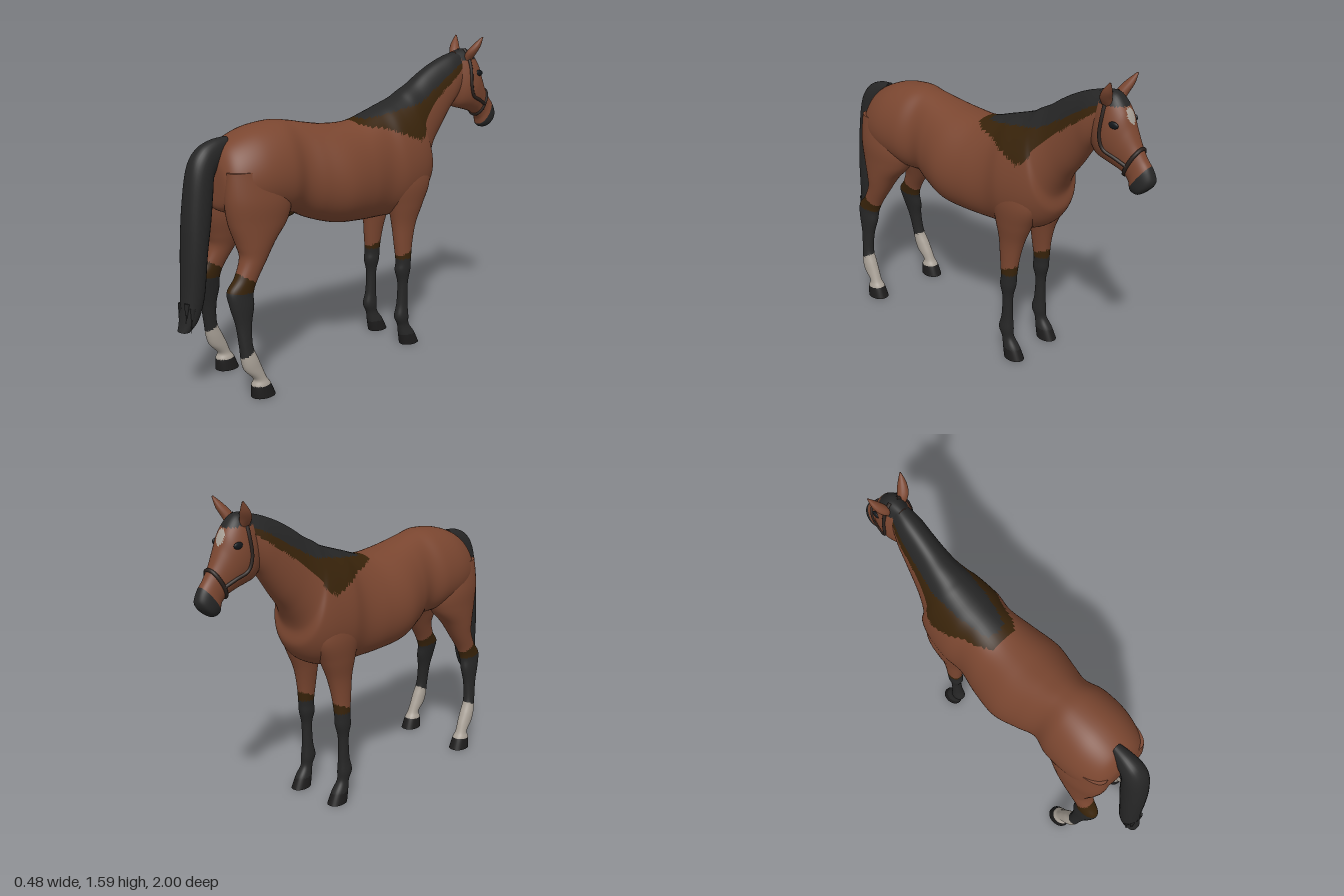
import * as THREE from 'three';

const mat = (name, color, side = THREE.FrontSide) => {
  const m = new THREE.MeshStandardMaterial({ color, side });
  m.name = name;
  return m;
};
const M = {
  coat: mat('bay coat', 0x7a4630),
  hair: mat('black hair', 0x262626),
  shade: mat('dark brown points', 0x38230a),
  sock: mat('pale sock', 0xa9a197),
  hoof: mat('hoof', 0x1d1c1c),
  strap: mat('halter leather', 0x2b221e),
  eye: mat('eye', 0x14181c),
};

// Smooth interpolation through a list of cross-sections
function section(rows, t) {
  const n = rows.length - 1;
  const i = Math.min(Math.floor(t), n - 1), f = t - i;
  const r = (k) => rows[Math.max(0, Math.min(n, k))];
  return rows[0].map((_, c) => {
    const a = r(i - 1)[c], b = r(i)[c], d = r(i + 1)[c], e = r(i + 2)[c];
    const u = (d - a) / 2, v = (e - b) / 2;
    return b + u * f + (3 * (d - b) - 2 * u - v) * f * f + (2 * (b - d) + u + v) * f * f * f;
  });
}

// A cross-section row is [z, y of one edge, z, y of the opposite edge, half width, centre x]
function surface(rows, t, a, egg = 0) {
  const [z1, y1, z2, y2, w, x] = section(rows, t);
  const c = Math.cos(a), s = Math.sin(a);
  const side = Math.sign(s) * Math.abs(s) ** 0.88 * (1 - egg * c);
  return new THREE.Vector3(x + w * side, (y1 + y2) / 2 + c * (y1 - y2) / 2, (z1 + z2) / 2 + c * (z1 - z2) / 2);
}

// Loft through the rows; paint(point, t) picks the material of each triangle
function loft(name, rows, paint, { seg = 24, sub = 6, egg = 0 } = {}) {
  const steps = (rows.length - 1) * sub, pos = [], buckets = new Map();
  const at = (k) => new THREE.Vector3().fromArray(pos, k * 3);
  const tri = (a, b, c, t) => {
    const m = paint(at(a).add(at(b)).add(at(c)).divideScalar(3), t);
    if (!buckets.has(m)) buckets.set(m, []);
    buckets.get(m).push(a, b, c);
  };
  const ring = (t) => {
    const start = pos.length / 3;
    for (let j = 0; j < seg; j++) pos.push(...surface(rows, t, (j / seg) * Math.PI * 2, egg).toArray());
    return start;
  };
  for (let i = 0; i <= steps; i++) ring(i / sub);
  for (let i = 0; i < steps; i++) for (let j = 0; j < seg; j++) {
    const k = (j + 1) % seg, a = i * seg, b = a + seg, t = (i + 0.5) / sub;
    tri(a + j, a + k, b + j, t);
    tri(a + k, b + k, b + j, t);
  }
  // End caps with their own corners
  for (const end of [0, rows.length - 1]) {
    const s = ring(end), mid = pos.length / 3;
    const c = surface(rows, end, 0, egg).add(surface(rows, end, Math.PI, egg)).multiplyScalar(0.5);
    pos.push(...c.toArray());
    for (let j = 0; j < seg; j++) {
      const p = s + j, q = s + (j + 1) % seg;
      end ? tri(p, q, mid, end) : tri(q, p, mid, end);
    }
  }
  const g = new THREE.BufferGeometry(), index = [], mats = [];
  for (const [m, list] of buckets) {
    g.addGroup(index.length, list.length, mats.length);
    mats.push(m);
    for (const v of list) index.push(v);
  }
  g.setAttribute('position', new THREE.Float32BufferAttribute(pos, 3));
  g.setIndex(index);
  g.computeVertexNormals();
  const mesh = new THREE.Mesh(g, mats);
  mesh.name = name;
  return mesh;
}

// Height of a broken line at a given z (points run towards -z)
function lineY(pts, z) {
  for (let i = 1; i < pts.length; i++) if (z >= pts[i][0]) {
    const [a, b] = [pts[i - 1], pts[i]];
    return z > a[0] ? 9 : b[1] + (a[1] - b[1]) * (z - b[0]) / (a[0] - b[0]);
  }
  return pts[pts.length - 1][1];
}

const BODY = [
  [0.80, 1.04, 0.80, 0.94, 0.03, 0], [0.79, 1.11, 0.79, 0.88, 0.12, 0], [0.74, 1.18, 0.73, 0.85, 0.17, 0],
  [0.62, 1.235, 0.62, 0.83, 0.202, 0], [0.48, 1.255, 0.48, 0.81, 0.202, 0], [0.38, 1.245, 0.38, 0.80, 0.175, 0],
  [0.28, 1.225, 0.28, 0.755, 0.20, 0], [0.15, 1.205, 0.15, 0.715, 0.23, 0], [0, 1.205, 0, 0.70, 0.212, 0],
  [-0.13, 1.245, -0.13, 0.695, 0.185, 0], [-0.20, 1.268, -0.26, 0.70, 0.195, 0], [-0.25, 1.285, -0.40, 0.75, 0.185, 0],
  [-0.30, 1.305, -0.47, 0.84, 0.165, 0], [-0.34, 1.33, -0.467, 0.93, 0.14, 0], [-0.40, 1.362, -0.51, 1.02, 0.115, 0],
  [-0.47, 1.41, -0.57, 1.10, 0.098, 0.003], [-0.55, 1.455, -0.625, 1.18, 0.086, 0.008],
  [-0.64, 1.492, -0.66, 1.23, 0.078, 0.015], [-0.72, 1.512, -0.70, 1.27, 0.06, 0.022],
];
const MANE = [[0, 1.3], [-0.05, 1.21], [-0.2, 1.235], [-0.4, 1.27], [-0.55, 1.36], [-0.64, 1.42], [-0.73, 1.46]];
const MANE_SHADE = [[0.02, 1.3], [0, 1.19], [-0.15, 1.16], [-0.33, 1.09], [-0.38, 1.12], [-0.4, 1.18],
  [-0.55, 1.31], [-0.65, 1.38], [-0.73, 1.44]];
const HEAD = [
  [-0.69, 1.51, -0.67, 1.23, 0.055, 0.02], [-0.775, 1.517, -0.70, 1.212, 0.08, 0.023],
  [-0.838, 1.455, -0.735, 1.203, 0.084, 0.025], [-0.872, 1.38, -0.79, 1.188, 0.072, 0.027],
  [-0.907, 1.31, -0.84, 1.168, 0.056, 0.028], [-0.943, 1.255, -0.872, 1.135, 0.047, 0.03],
  [-0.975, 1.215, -0.885, 1.095, 0.05, 0.03], [-0.995, 1.17, -0.92, 1.085, 0.043, 0.03],
  [-0.99, 1.14, -0.95, 1.10, 0.018, 0.03],
];
const TAIL = [
  [1.0, 0.33, 0.95, 0.33, 0.035, 0], [0.988, 0.38, 0.905, 0.38, 0.05, 0], [0.975, 0.5, 0.87, 0.49, 0.061, 0],
  [0.965, 0.7, 0.85, 0.68, 0.071, 0], [0.95, 0.9, 0.825, 0.83, 0.071, 0], [0.92, 1.08, 0.81, 0.95, 0.066, 0],
  [0.87, 1.16, 0.80, 1.03, 0.058, 0], [0.80, 1.195, 0.76, 1.08, 0.045, 0], [0.72, 1.205, 0.74, 1.12, 0.03, 0],
];
// Legs: [front z, y, back z, y, half width, centre x]
const HIND = [
  [0.52, 1.06, 0.79, 1.06, 0.06, 0.12], [0.46, 0.92, 0.80, 0.93, 0.092, 0.115], [0.48, 0.82, 0.785, 0.82, 0.092, 0.115],
  [0.56, 0.73, 0.755, 0.72, 0.075, 0.128], [0.62, 0.64, 0.745, 0.66, 0.058, 0.138], [0.67, 0.56, 0.78, 0.58, 0.045, 0.145],
  [0.695, 0.50, 0.828, 0.52, 0.04, 0.15], [0.70, 0.44, 0.822, 0.45, 0.036, 0.16], [0.72, 0.36, 0.80, 0.36, 0.029, 0.17],
  [0.725, 0.26, 0.79, 0.26, 0.029, 0.18], [0.70, 0.19, 0.785, 0.19, 0.034, 0.185], [0.68, 0.14, 0.77, 0.14, 0.033, 0.187],
  [0.66, 0.09, 0.725, 0.09, 0.03, 0.19], [0.64, 0.06, 0.735, 0.055, 0.04, 0.19], [0.615, 0, 0.735, 0, 0.048, 0.19],
];
const FORE = [
  [-0.40, 1.0, -0.16, 0.98, 0.06, 0.115], [-0.42, 0.87, -0.15, 0.87, 0.075, 0.118], [-0.378, 0.76, -0.175, 0.76, 0.068, 0.115],
  [-0.335, 0.66, -0.195, 0.66, 0.052, 0.115], [-0.31, 0.56, -0.205, 0.56, 0.042, 0.12], [-0.298, 0.46, -0.215, 0.46, 0.036, 0.125],
  [-0.295, 0.41, -0.21, 0.41, 0.036, 0.125], [-0.28, 0.34, -0.225, 0.34, 0.026, 0.127], [-0.28, 0.23, -0.22, 0.23, 0.026, 0.127],
  [-0.285, 0.16, -0.205, 0.16, 0.032, 0.128], [-0.29, 0.11, -0.225, 0.11, 0.027, 0.128],
  [-0.325, 0.06, -0.235, 0.055, 0.036, 0.128], [-0.355, 0, -0.245, 0, 0.042, 0.128],
];

export function createModel() {
  const horse = new THREE.Group();
  horse.name = 'horse';
  const ball = (name, material, p, size) => {
    const m = new THREE.Mesh(new THREE.SphereGeometry(1, 20, 14), material);
    m.name = name;
    m.position.copy(p);
    m.scale.set(...size);
    horse.add(m);
    return m;
  };

  // Trunk and neck with the mane painted along the crest
  horse.add(loft('bodyAndNeck', BODY, (p) =>
    p.y > lineY(MANE, p.z) ? M.hair : p.y > lineY(MANE_SHADE, p.z) ? M.shade : M.coat,
  { seg: 72, sub: 8, egg: 0.13 }));
  ball('sheath', M.shade, new THREE.Vector3(0, 0.805, 0.42), [0.04, 0.03, 0.08]);

  // Head with forelock, star and dark muzzle
  horse.add(loft('head', HEAD, (p, t) => {
    const dx = p.x - 0.025;
    if (t > 5.7) return M.hair;
    if (p.z < -0.8 && Math.hypot(dx / 0.024, (p.y - 1.425) / 0.035) < 1) return M.sock;
    if (p.y > 1.465 && Math.abs(dx) < 0.055) return M.hair;
    return M.coat;
  }, { seg: 56, sub: 8, egg: 0.08 }));

  // Halter: noseband, crown and cheek straps
  const strap = (name, pts, closed = false) => {
    const curve = new THREE.CatmullRomCurve3(pts, closed);
    const m = new THREE.Mesh(new THREE.TubeGeometry(curve, 40, 0.009, 8, closed), M.strap);
    m.name = name;
    horse.add(m);
  };
  const onHead = (t, a) => surface(HEAD, t, a, 0.08);
  strap('noseband', Array.from({ length: 16 }, (_, i) => onHead(4.3, i * Math.PI / 8)), true);

  for (const s of [1, -1]) {
    const side = s > 0 ? 'left' : 'right';
    strap(side + 'CheekStrap', [[4.3, 1.7], [3.2, 1.9], [2.1, 2], [1.4, 1.75], [1, 1.2], [0.8, 0.7], [0.75, 0.2]]
      .map(([t, a]) => onHead(t, s * a)));
    ball(side + 'Eye', M.eye, onHead(2, s * 1.05), [0.009, 0.016, 0.026]);
    // Pointed ears leaning outward
    const ex = (d) => 0.024 + s * d;
    horse.add(loft(side + 'Ear', [
      [-0.73, 1.46, -0.775, 1.46, 0.018, ex(0.042)], [-0.73, 1.50, -0.785, 1.495, 0.026, ex(0.06)],
      [-0.755, 1.54, -0.80, 1.535, 0.021, ex(0.08)], [-0.80, 1.585, -0.808, 1.582, 0.003, ex(0.098)],
    ], () => M.coat, { seg: 16 }));

    // Hind leg: the right one is set a little further forward
    const hind = HIND.map(([a, y1, b, y2, w, x]) => {
      const d = s > 0 ? 0 : -0.04 * Math.max(0, Math.min(1, (0.55 - y1) / 0.4));
      return [a + d, y1, b + d, y2, w, s * x];
    });
    horse.add(loft(side + 'HindLeg', hind, (p) => {
      const slope = (p.z - 0.7) * 0.6;
      if (p.y < 0.058) return M.hoof;
      if (p.y < 0.225 + (0.75 - p.z) * 0.5) return M.sock;
      if (p.y < 0.505 + slope * 0.2) return M.hair;
      return p.y < 0.555 + slope ? M.shade : M.coat;
    }, { seg: 32, sub: 8 }));

    // Foreleg with black stocking
    horse.add(loft(side + 'Foreleg', FORE.map((r) => [...r.slice(0, 5), s * r[5]]), (p) =>
      p.y < 0.055 ? M.hoof : p.y < 0.475 ? M.hair : p.y < 0.505 - (p.z + 0.25) * 0.4 ? M.shade : M.coat,
    { seg: 32, sub: 8 }));
  }

  // Tail ending in loose wisps
  horse.add(loft('tail', TAIL, () => M.hair, { seg: 32 }));
  for (let i = 0; i < 7; i++) {
    const wisp = new THREE.Mesh(new THREE.ConeGeometry(0.014, 0.12, 6), M.hair);
    wisp.name = 'tailWisp';
    wisp.position.set((i - 3) * 0.015, 0.385 + (i % 3) * 0.012, 0.955 + (i % 2) * 0.02);
    wisp.rotation.x = Math.PI - 0.1;
    horse.add(wisp);
  }
  return horse;
}
